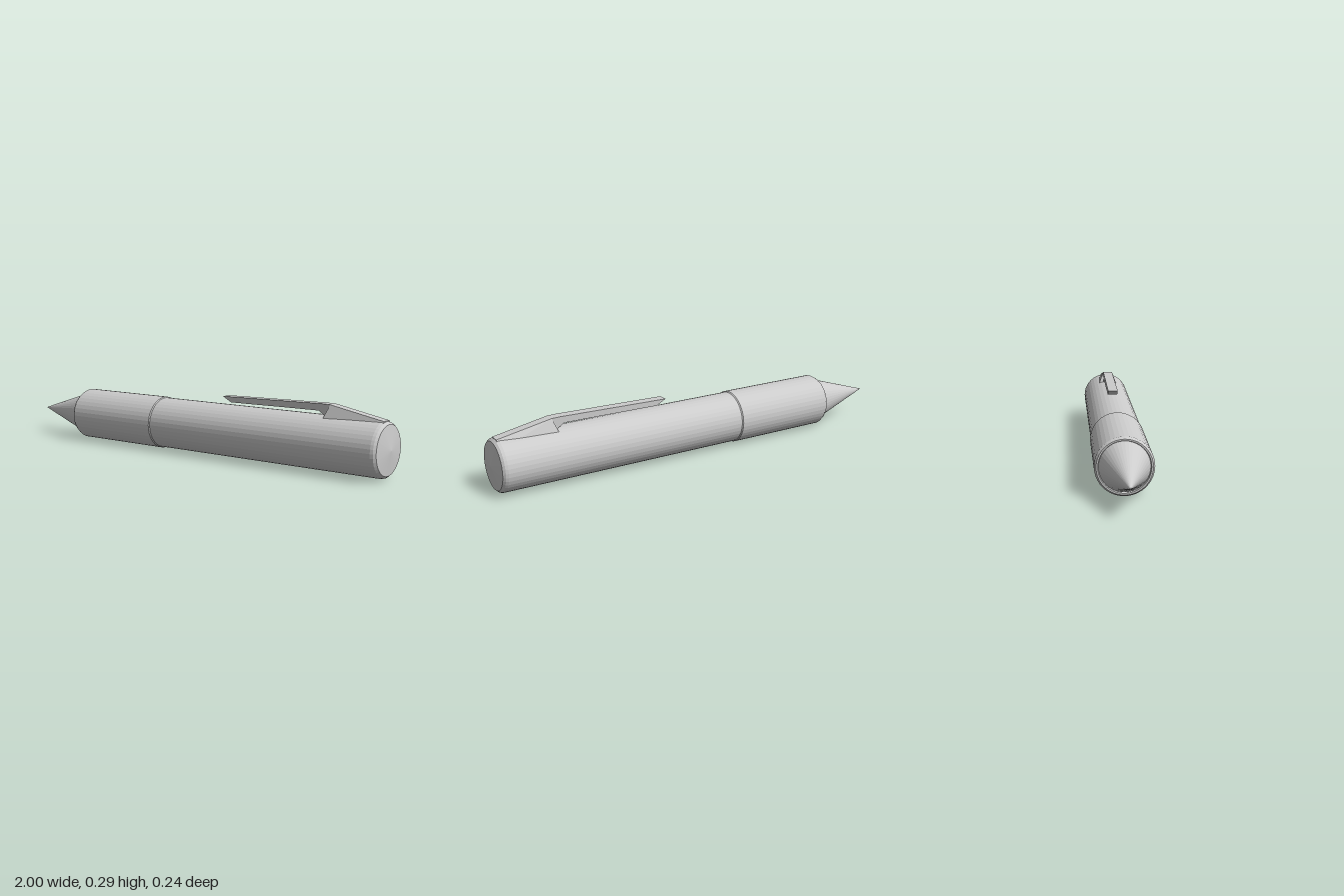
import * as THREE from 'three';

const AXIS_Y = 0.123;

export function createModel() {
  const group = new THREE.Group();
  const material = new THREE.MeshStandardMaterial({ color: 0xcccccc, flatShading: true });

  const add = (name, geometry) => {
    const mesh = new THREE.Mesh(geometry, material);
    mesh.name = name;
    group.add(mesh);
    return mesh;
  };

  // Turned part lying along x; profile is a list of [x, radius] from the tip to the end
  const turned = (name, profile) => {
    const points = profile.map(([x, r]) => new THREE.Vector2(r, x));
    const geometry = new THREE.LatheGeometry(points, 40);
    geometry.rotateZ(-Math.PI / 2);
    add(name, geometry).position.y = AXIS_Y;
  };

  turned('tip', [[-1, 0], [-0.67, 0.104], [-0.67, 0]]);
  turned('grip', [[-0.672, 0], [-0.672, 0.104], [-0.682, 0.106], [-0.682, 0.113], [-0.668, 0.121], [-0.18, 0.121], [-0.175, 0.117], [-0.175, 0]]);
  turned('barrel', [[-0.18, 0], [-0.18, 0.117], [0.966, 0.117], [0.978, 0.114], [0.988, 0.105], [1, 0]]);

  // Clip arm: side outline extruded across the pen
  const halfWidth = 0.023;
  const outline = new THREE.Shape([
    [0.18, 0.278], [0.225, 0.254], [0.52, 0.257], [0.675, 0.258], [0.705, 0.238],
    [0.75, 0.24], [0.75, 0.283], [0.73, 0.287], [0.69, 0.288],
  ].map(([x, y]) => new THREE.Vector2(x, y)));
  const arm = new THREE.ExtrudeGeometry(outline, { depth: 2 * halfWidth, bevelEnabled: false });
  arm.translate(0, 0, -halfWidth);
  add('clipArm', arm);

  // Clip base: a box reshaped into a wedge that flares onto the barrel
  const base = new THREE.BoxGeometry(2, 2, 2);
  const p = base.attributes.position;
  for (let i = 0; i < p.count; i++) {
    const rear = p.getX(i) > 0, top = p.getY(i) > 0;
    const x = rear ? 0.975 : top ? 0.73 : 0.707;
    const y = top ? (rear ? 0.241 : 0.287) : (rear ? 0.2 : 0.227);
    p.setXYZ(i, x, y, p.getZ(i) * (top ? halfWidth : 0.046));
  }
  base.computeVertexNormals();
  add('clipBase', base);

  return group;
}
